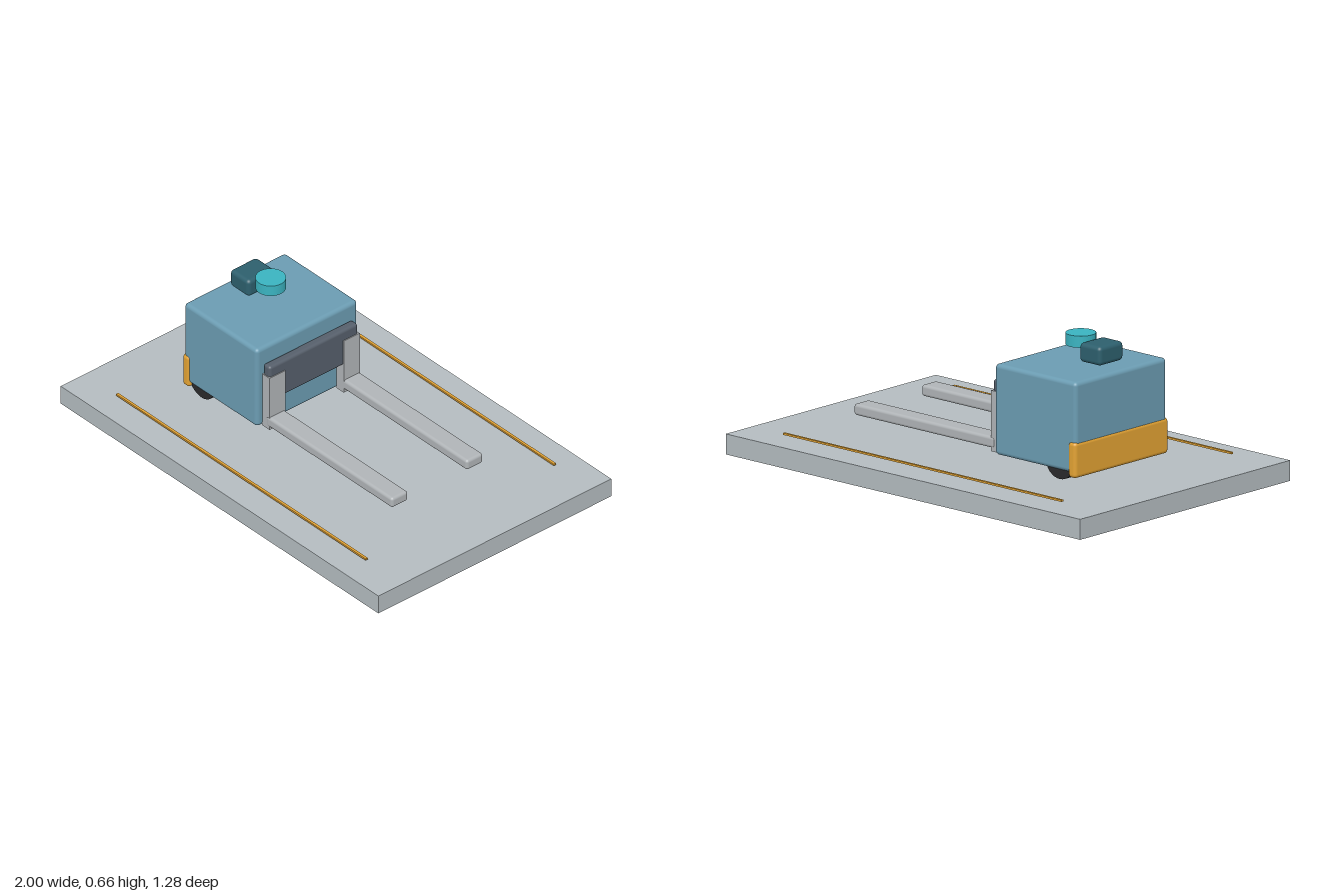
import * as THREE from 'three';
import { RoundedBoxGeometry } from 'three/addons/geometries/RoundedBoxGeometry.js';

const mat = (color) => new THREE.MeshStandardMaterial({ color });
const paint = {
  floor: mat(0xb4bcc0), body: mat(0x6b9cb2), bumper: mat(0xe2a233), tyre: mat(0x2a2a2c),
  steel: mat(0xb0b4b7), carriage: mat(0x565f6b), sensor: mat(0x2d5f6d), scanner: mat(0x3ab3c0),
};

export function createModel() {
  const root = new THREE.Group();

  const add = (name, geometry, material, x, y, z) => {
    const mesh = new THREE.Mesh(geometry, material);
    mesh.name = name;
    mesh.position.set(x, y, z);
    root.add(mesh);
    return mesh;
  };

  // Box given by its extents along x and y, its centre z and depth, and an optional corner radius
  const box = (name, material, [x0, x1], [y0, y1], z, depth, radius = 0) => {
    const w = x1 - x0, h = y1 - y0;
    const geometry = radius
      ? new RoundedBoxGeometry(w, h, depth, 4, radius)
      : new THREE.BoxGeometry(w, h, depth);
    return add(name, geometry, material, (x0 + x1) / 2, (y0 + y1) / 2, z);
  };

  // Floor slab
  box('floorSlab', paint.floor, [-1, 1], [0, 0.088], 0, 1.28);

  // Truck body with wraparound rear bumper
  box('body', paint.body, [-0.64, -0.18], [0.144, 0.534], 0, 0.556, 0.018);
  box('bumper', paint.bumper, [-0.644, -0.6], [0.124, 0.278], 0, 0.57, 0.016);

  // Fork carriage plate
  box('carriagePlate', paint.carriage, [-0.181, -0.139], [0.279, 0.454], 0, 0.486, 0.013);

  // Sensor box and round scanner above the roof
  box('sensorBox', paint.sensor, [-0.587, -0.467], [0.554, 0.636], 0, 0.147, 0.018);
  add('scanner', new THREE.CylinderGeometry(0.064, 0.064, 0.05, 32), paint.scanner, -0.411, 0.631, 0);

  // Mirrored parts
  for (const side of [-1, 1]) {
    box('forkUpright', paint.steel, [-0.181, -0.134], [0.144, 0.405], side * 0.204, 0.088);
    box('fork', paint.steel, [-0.155, 0.64], [0.158, 0.207], side * 0.206, 0.09, 0.013);
    box('guideLine', paint.bumper, [-0.786, 0.786], [0.1, 0.108], side * 0.517, 0.012);

    const wheel = add('driveWheel', new THREE.CylinderGeometry(0.08, 0.08, 0.06, 32),
      paint.tyre, -0.54, 0.183, side * 0.238);
    wheel.rotation.x = Math.PI / 2;
  }

  return root;
}
